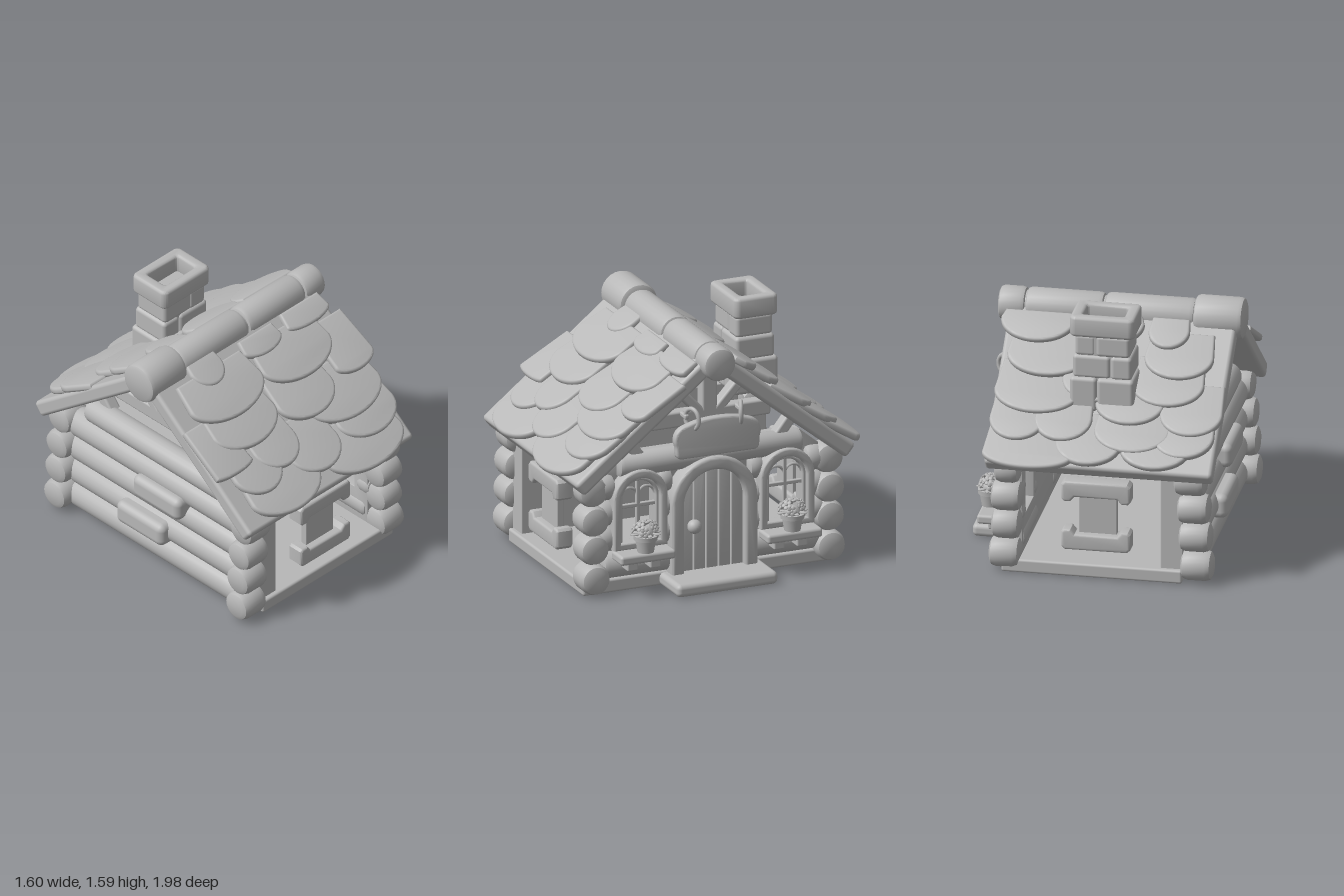
import * as THREE from 'three';
import { toCreasedNormals } from 'three/addons/utils/BufferGeometryUtils.js';
import { RoundedBoxGeometry } from 'three/addons/geometries/RoundedBoxGeometry.js';

const clay = new THREE.MeshStandardMaterial({ color: 0xb8b8b8 });
clay.name = 'clay grey';

const mesh = (parent, name, geo, x = 0, y = 0, z = 0) => {
  const m = new THREE.Mesh(geo, clay);
  m.name = name;
  m.position.set(x, y, z);
  parent.add(m);
  return m;
};
const group = (parent, name) => {
  const g = new THREE.Group();
  g.name = name;
  parent.add(g);
  return g;
};
// rounded box from its minimum and maximum corners
const box = (parent, name, x0, x1, y0, y1, z0, z1, r = 0.02) => mesh(parent, name,
  new RoundedBoxGeometry(x1 - x0, y1 - y0, z1 - z0, 3, Math.min(r, (x1 - x0) / 2.1, (y1 - y0) / 2.1, (z1 - z0) / 2.1)),
  (x0 + x1) / 2, (y0 + y1) / 2, (z0 + z1) / 2);
// extrusion filling z = 0..depth, with the bevel kept inside the outline
const extrude = (shape, depth, bevel = 0.01) => toCreasedNormals(new THREE.ExtrudeGeometry(shape, {
  depth: depth - 2 * bevel, bevelEnabled: true, bevelThickness: bevel, bevelSize: bevel,
  bevelOffset: -bevel, bevelSegments: 3, curveSegments: 14,
}).translate(0, 0, bevel), 0.6);
// log with softened ends, lying along x or z
const log = (parent, name, axis, len, r, x, y, z, soft = 0.025) => {
  const h = len / 2;
  const pts = [[0, -h], [r - soft, -h], [r - soft * 0.3, -h + soft * 0.35], [r, -h + soft * 1.2]];
  const profile = [...pts, ...pts.map(([a, b]) => [a, -b]).reverse()].map(p => new THREE.Vector2(...p));
  const geo = toCreasedNormals(new THREE.LatheGeometry(profile, 24), 0.7);
  if (axis === 'x') geo.rotateZ(-Math.PI / 2); else geo.rotateX(Math.PI / 2);
  return mesh(parent, name, geo, x, y, z);
};
const arch = (Type, cx, half, y0, top) => {
  const p = new Type();
  p.moveTo(cx - half, y0);
  p.lineTo(cx + half, y0);
  p.lineTo(cx + half, top - half);
  p.absarc(cx, top - half, half, 0, Math.PI, false);
  p.lineTo(cx - half, y0);
  return p;
};
const polygon = points => new THREE.Shape(points.map(p => new THREE.Vector2(...p)));
// extrusion facing +x, its outline drawn as (-z, y)
const facing = (parent, name, shape, depth, x, z = 0, bevel = 0.01) =>
  mesh(parent, name, extrude(shape, depth, bevel).rotateY(Math.PI / 2), x, 0, z);

// rows of shingles: x from, x to, reach in z, length, depth of the rounded end
const frontShingles = [
  [-0.66, -0.11, 0.97, 0.36], [-0.04, 0.57, 0.99, 0.36],
  [-0.67, -0.31, 0.83, 0.34], [-0.25, 0.14, 0.88, 0.38], [0.17, 0.63, 0.86, 0.36],
  [-0.78, -0.48, 0.68, 0.38, 0.03], [-0.45, -0.11, 0.77, 0.38], [0.06, 0.63, 0.74, 0.38],
  [-0.63, -0.12, 0.61, 0.36], [-0.12, 0.33, 0.64, 0.38], [0.38, 0.69, 0.56, 0.38, 0.08],
  [-0.66, -0.07, 0.45, 0.34], [-0.07, 0.49, 0.46, 0.34],
  [-0.5, -0.25, 0.27, 0.2], [-0.1, 0.21, 0.27, 0.15, 0.07], [0.26, 0.61, 0.26, 0.15, 0.05],
];
const backShingles = [
  [0.08, 0.63, 1.0, 0.4, 0.1], [-0.2, 0.2, 0.96, 0.38], [-0.62, -0.19, 0.96, 0.38],
  [-0.75, -0.38, 0.89, 0.38], [-0.48, -0.02, 0.88, 0.4], [0, 0.35, 0.84, 0.36], [0.28, 0.62, 0.85, 0.36],
  [-0.78, -0.4, 0.77, 0.38], [-0.42, 0, 0.73, 0.36], [0.1, 0.62, 0.7, 0.38],
  [-0.64, -0.2, 0.62, 0.36], [-0.2, 0.22, 0.62, 0.36],
  [-0.67, -0.25, 0.47, 0.34], [0.08, 0.58, 0.5, 0.36],
  [-0.5, -0.25, 0.31, 0.22], [-0.22, 0.2, 0.31, 0.22], [0.2, 0.65, 0.32, 0.22],
];

function roofSide(parent, side, shingles) {
  const slope = 0.672, turn = group(parent, side > 0 ? 'frontRoof' : 'rearRoof');
  turn.rotation.y = side > 0 ? 0 : Math.PI;
  const plane = group(turn, 'roofSlope');
  plane.position.y = 1.472;
  plane.rotation.x = slope - Math.PI / 2;
  const [a, b] = side > 0 ? [-0.765, 0.62] : [-0.62, 0.765];
  box(plane, 'roofSlab', a, b, -1.175, -0.06, -0.1, 0, 0.025);
  shingles.forEach(([x0, x1, reach, len, round = 0.16]) => {
    const w = (x1 - x0) / 2, d = Math.min(round, w), s = new THREE.Shape();
    s.moveTo(w, d);
    s.lineTo(w * 0.9, len);
    s.lineTo(-w * 0.9, len);
    s.lineTo(-w, d);
    s.absellipse(0, d, w, d, Math.PI, Math.PI * 2, false);
    const m = mesh(plane, 'shingle', extrude(s, 0.045, 0.016),
      side * (x0 + x1) / 2, -(reach - 0.035) / Math.cos(slope), reach < 0.3 ? 0.005 : 0.025);
    m.rotation.x = -0.14;
  });
}

function flowerPot(parent, x, y, z) {
  const pot = group(parent, 'flowerPot');
  pot.position.set(x, y, z);
  const profile = [[0, 0], [0.05, 0], [0.062, 0.075], [0.072, 0.077], [0.074, 0.105], [0.062, 0.107], [0.056, 0.09], [0, 0.09]];
  mesh(pot, 'pot', toCreasedNormals(new THREE.LatheGeometry(profile.map(p => new THREE.Vector2(...p)), 20), 0.6));
  const ball = new THREE.SphereGeometry(1, 8, 6);
  for (let i = 0; i < 10; i++) {
    // blossoms spread over a dome
    const t = i * 2.4, up = 1 - i / 10, flat = Math.sqrt(1 - up * up);
    const dir = new THREE.Vector3(Math.cos(t) * flat, up, Math.sin(t) * flat);
    const bloom = group(pot, 'blossom');
    bloom.position.set(dir.x * 0.06, 0.125 + dir.y * 0.065, dir.z * 0.085);
    bloom.quaternion.setFromUnitVectors(new THREE.Vector3(0, 0, 1), dir);
    for (let k = 0; k < 5; k++) {
      const a = k * Math.PI * 0.4;
      mesh(bloom, 'petal', ball, Math.cos(a) * 0.019, Math.sin(a) * 0.019, 0).scale.set(0.014, 0.014, 0.006);
    }
    mesh(bloom, 'blossomHeart', ball, 0, 0, 0.004).scale.setScalar(0.009);
  }
  mesh(pot, 'foliage', ball, 0, 0.11, 0).scale.set(0.045, 0.045, 0.055);
  for (let i = 0; i < 8; i++) {
    const leaf = mesh(pot, 'leaf', ball, Math.cos(i * 0.785) * 0.055, 0.115, Math.sin(i * 0.785) * 0.07);
    leaf.scale.set(0.032, 0.006, 0.016);
    leaf.rotation.y = -i * 0.785;
  }
}

function frontWindow(parent, z) {
  const win = group(parent, 'window');
  win.position.z = z;
  [[0.175, 0.13, 0.77, 0.72, 0.09], [0.13, 0.108, 0.72, 0.698, 0.06]].forEach(([o, i, top, inTop, depth]) => {
    const s = arch(THREE.Shape, 0, o, 0.28, top);
    s.holes.push(arch(THREE.Path, 0, i, 0.32, inTop));
    facing(win, 'windowFrame', s, depth, 0.51);
  });
  // glazing bars and tracery
  box(win, 'mullion', 0.53, 0.555, 0.3, 0.7, -0.012, 0.012, 0.006);
  box(win, 'crossBar', 0.53, 0.555, 0.528, 0.552, -0.12, 0.12, 0.006);
  [-1, 1].forEach(s => mesh(win, 'tracery',
    new THREE.TorusGeometry(0.052, 0.009, 6, 14, Math.PI).rotateY(Math.PI / 2), 0.542, 0.6, s * 0.056));
  // shelf with two brackets
  box(win, 'shelf', 0.56, 0.71, 0.222, 0.28, -0.18, 0.18, 0.018);
  [-0.07, 0.08].forEach(b => box(win, 'bracket', 0.55, 0.655, 0.162, 0.23, b - 0.035, b + 0.035, 0.01));
  flowerPot(win, 0.662, 0.28, 0);
}

function gable(parent, x) {
  const g = group(parent, 'gableFrame');
  g.position.x = x;
  const beam = (name, z0, y0, z1, y1, w) => {
    const len = Math.hypot(z1 - z0, y1 - y0);
    const m = mesh(g, name, new RoundedBoxGeometry(0.08, len, w, 2, 0.015), 0, (y0 + y1) / 2, (z0 + z1) / 2);
    m.rotation.x = Math.atan2(z1 - z0, y1 - y0);
  };
  beam('tieBeam', -0.4, 1.03, 0.4, 1.03, 0.1);
  beam('kingPost', 0, 1, 0, 1.38, 0.1);
  [-1, 1].forEach(s => {
    beam('brace', s * 0.05, 1.05, s * 0.19, 1.2, 0.06);
    beam('cornerBrace', s * 0.43, 0.8, s * 0.54, 0.94, 0.07);
  });
}

export function createModel() {
  const house = new THREE.Group();
  house.name = 'logCabin';

  box(house, 'floor', -0.57, 0.53, 0, 0.085, -0.83, 0.83, 0.015);
  box(house, 'doorStep', 0.5, 0.8, 0, 0.08, -0.33, 0.33, 0.03);

  // corner log ends
  [[0.11, 0.605, 0.185, -0.75], [0.295, 0.59, 0.17, -0.74], [0.475, 0.592, 0.18, -0.73], [0.655, 0.572, 0.15, -0.71]]
    .forEach(([y, out, len, back]) => [-1, 1].forEach(s => {
      log(house, 'logEnd', 'x', len, 0.095, out - len / 2, y, s * 0.77, 0.035);
      log(house, 'logEnd', 'x', 0.19, 0.095, back + 0.095, y, s * 0.77, 0.035);
    }));

  // rear gable wall with two raised blocks
  box(house, 'rearWall', -0.57, -0.44, 0.02, 0.85, -0.62, 0.62, 0.01);
  box(house, 'rearWallBase', -0.57, -0.435, 0.005, 0.7, -0.8, 0.8, 0.005);
  [0.11, 0.285, 0.46, 0.635, 0.785].forEach((y, i) =>
    log(house, 'wallLog', 'z', i === 4 ? 1.2 : 1.42, i === 4 ? 0.08 : 0.096, -0.59, y, 0));
  box(house, 'wallBlock', -0.74, -0.6, 0.465, 0.62, -0.12, 0.28, 0.045);
  box(house, 'wallBlock', -0.74, -0.6, 0.195, 0.35, -0.26, 0.14, 0.045);

  // entrance wall with window openings
  const wall = polygon([[-0.72, 0.02], [0.72, 0.02], [0.72, 0.75], [0.6, 0.85], [-0.6, 0.85], [-0.72, 0.75]]);
  [-0.48, 0.48].forEach(z => wall.holes.push(arch(THREE.Path, z, 0.13, 0.3, 0.72)));
  facing(house, 'entranceWall', wall, 0.08, 0.42, 0, 0.003);
  log(house, 'wallLog', 'z', 1.2, 0.075, 0.5, 0.785, 0);
  [-1, 1].forEach(s => {
    log(house, 'wallLog', 'z', 0.45, 0.085, 0.49, 0.17, s * 0.48);
    [0.34, 0.5, 0.66].forEach(y => {
      log(house, 'wallLog', 'z', 0.11, 0.08, 0.49, y, s * 0.68);
      log(house, 'wallLog', 'z', 0.09, 0.08, 0.49, y, s * 0.297);
    });
    frontWindow(house, s * 0.48);
  });

  // door: arched frame, five planks and a knob
  const frame = new THREE.Shape();
  frame.moveTo(0.2, 0.07);
  frame.lineTo(0.28, 0.07);
  frame.lineTo(0.28, 0.51);
  frame.absarc(0, 0.51, 0.28, 0, Math.PI, false);
  frame.lineTo(-0.28, 0.07);
  frame.lineTo(-0.2, 0.07);
  frame.lineTo(-0.2, 0.51);
  frame.absarc(0, 0.51, 0.2, Math.PI, 0, true);
  facing(house, 'doorFrame', frame, 0.12, 0.49, 0, 0.018);
  for (let i = 0; i < 5; i++) {
    const a = -0.205 + i * 0.082, plank = [[a + 0.003, 0.075], [a + 0.079, 0.075]];
    for (let k = 0; k <= 5; k++) {
      const u = a + 0.079 - k * 0.0152;
      plank.push([u, 0.51 + Math.sqrt(0.205 ** 2 - u * u)]);
    }
    facing(house, 'doorPlank', polygon(plank), 0.06, 0.5, 0, 0.006);
  }
  mesh(house, 'doorKnob', new THREE.SphereGeometry(0.044, 20, 14), 0.595, 0.365, 0.13);

  // side windows: lintel, sill and panel
  [-1, 1].forEach(s => {
    const geo = extrude(polygon([[-0.21, 0.045], [-0.19, 0.065], [0.19, 0.065], [0.21, 0.045], [0.21, -0.05], [0.195, -0.065],
      [0.155, -0.065], [0.13, -0.035], [-0.13, -0.035], [-0.155, -0.065], [-0.195, -0.065], [-0.21, -0.05]].reverse()), 0.11, 0.016);
    mesh(house, 'windowLintel', geo, -0.047, 0.55, s * 0.785 - 0.055);
    mesh(house, 'windowSill', geo.clone().rotateZ(Math.PI), -0.047, 0.24, s * 0.785 - 0.055);
    box(house, 'windowPanel', -0.167, 0.063, 0.26, 0.53, s * 0.77 - 0.02, s * 0.77 + 0.02, 0.004);
  });

  // gable frames, roof and ridge
  gable(house, 0.49);
  gable(house, -0.56);
  roofSide(house, 1, frontShingles);
  roofSide(house, -1, backShingles);
  [[-0.8, -0.5, 0.128], [-0.505, 0.045, 0.107], [0.05, 0.525, 0.105], [0.525, 0.69, 0.105]].forEach(([a, b, r]) =>
    log(house, 'ridgeLog', 'x', b - a, r, (a + b) / 2, r > 0.12 ? 1.4 : 1.395, 0));
  log(house, 'ridgeCore', 'x', 1.3, 0.085, -0.05, 1.395, 0);

  // chimney: tapering staggered stones around a core, under a hollow cap
  box(house, 'chimneyCore', -0.19, 0.1, 1, 1.475, -0.59, -0.365, 0.01);
  [[0.98, 1.2, 0.195, 0.145, 0.03], [1.19, 1.34, 0.18, 0.128, -0.05], [1.33, 1.468, 0.168, 0.12, 0.04]].forEach(([y0, y1, w, d, split]) => {
    box(house, 'chimneyStone', -0.042 - w, -0.042 + split, y0, y1, -0.48 - d, -0.48 + d, 0.025);
    box(house, 'chimneyStone', -0.042 + split, -0.042 + w, y0, y1, -0.475 - d, -0.475 + d, 0.025);
  });
  const rect = (s, w, d, r) => {
    s.absarc(w - r, d - r, r, 0, Math.PI / 2);
    s.absarc(r - w, d - r, r, Math.PI / 2, Math.PI);
    s.absarc(r - w, r - d, r, Math.PI, Math.PI * 1.5);
    s.absarc(w - r, r - d, r, Math.PI * 1.5, Math.PI * 2);
    return s;
  };
  const cap = rect(new THREE.Shape(), 0.197, 0.143, 0.04);
  cap.holes.push(rect(new THREE.Path(), 0.125, 0.075, 0.015));
  mesh(house, 'chimneyCap', extrude(cap, 0.13, 0.02).rotateX(-Math.PI / 2), -0.042, 1.46, -0.478);

  // hanging sign with two hooks
  const sign = new THREE.Shape();
  sign.moveTo(-0.24, 0.82);
  sign.lineTo(0.24, 0.82);
  sign.bezierCurveTo(0.29, 0.83, 0.26, 0.88, 0.28, 0.92);
  sign.bezierCurveTo(0.29, 0.99, 0.25, 1.02, 0.2, 1.03);
  sign.bezierCurveTo(0.1, 1.07, -0.1, 1.07, -0.2, 1.03);
  sign.bezierCurveTo(-0.25, 1.02, -0.29, 0.99, -0.28, 0.92);
  sign.bezierCurveTo(-0.26, 0.88, -0.29, 0.83, -0.24, 0.82);
  facing(house, 'sign', sign, 0.055, 0.6, 0, 0.014);
  [-1, 1].forEach(s => {
    const hook = mesh(house, 'signHook', new THREE.TorusGeometry(0.055, 0.013, 8, 24), 0.625, 1.06, s * 0.16);
    hook.rotation.y = s * 0.4;
    hook.scale.y = 1.15;
    box(house, 'hookPeg', 0.5, 0.6, 1.05, 1.08, s * 0.18 - 0.015, s * 0.18 + 0.015, 0.01);
  });
  return house;
}
